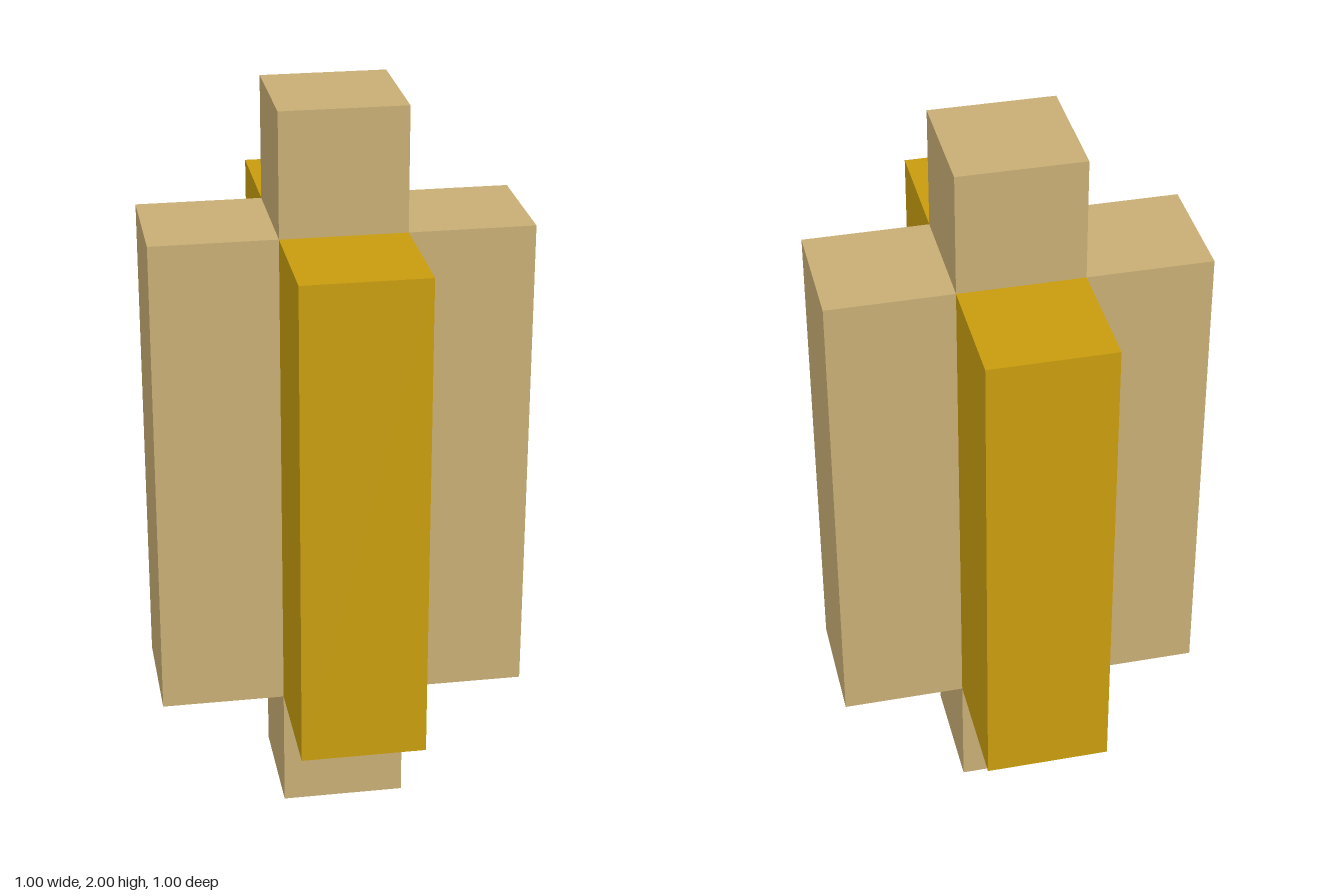
import * as THREE from 'three';

export function createModel() {
  const model = new THREE.Group();
  const tan = new THREE.MeshStandardMaterial({ color: 0xc9ae74 });
  tan.name = 'tan';
  const gold = new THREE.MeshStandardMaterial({ color: 0xc99d0e });
  gold.name = 'gold';

  const unit = 1 / 3; // every part is a multiple of this module

  function block(name, material, height, x, z) {
    const mesh = new THREE.Mesh(new THREE.BoxGeometry(unit, height, unit), material);
    mesh.name = name;
    mesh.position.set(x, 1, z);
    model.add(mesh);
  }

  // Tall central post
  block('centralPost', tan, 6 * unit, 0, 0);

  // Shorter bars on its four sides
  block('leftBar', tan, 4 * unit, unit, 0);
  block('rightBar', tan, 4 * unit, -unit, 0);
  block('frontBar', gold, 4 * unit, 0, unit);
  block('backBar', gold, 4 * unit, 0, -unit);

  return model;
}
